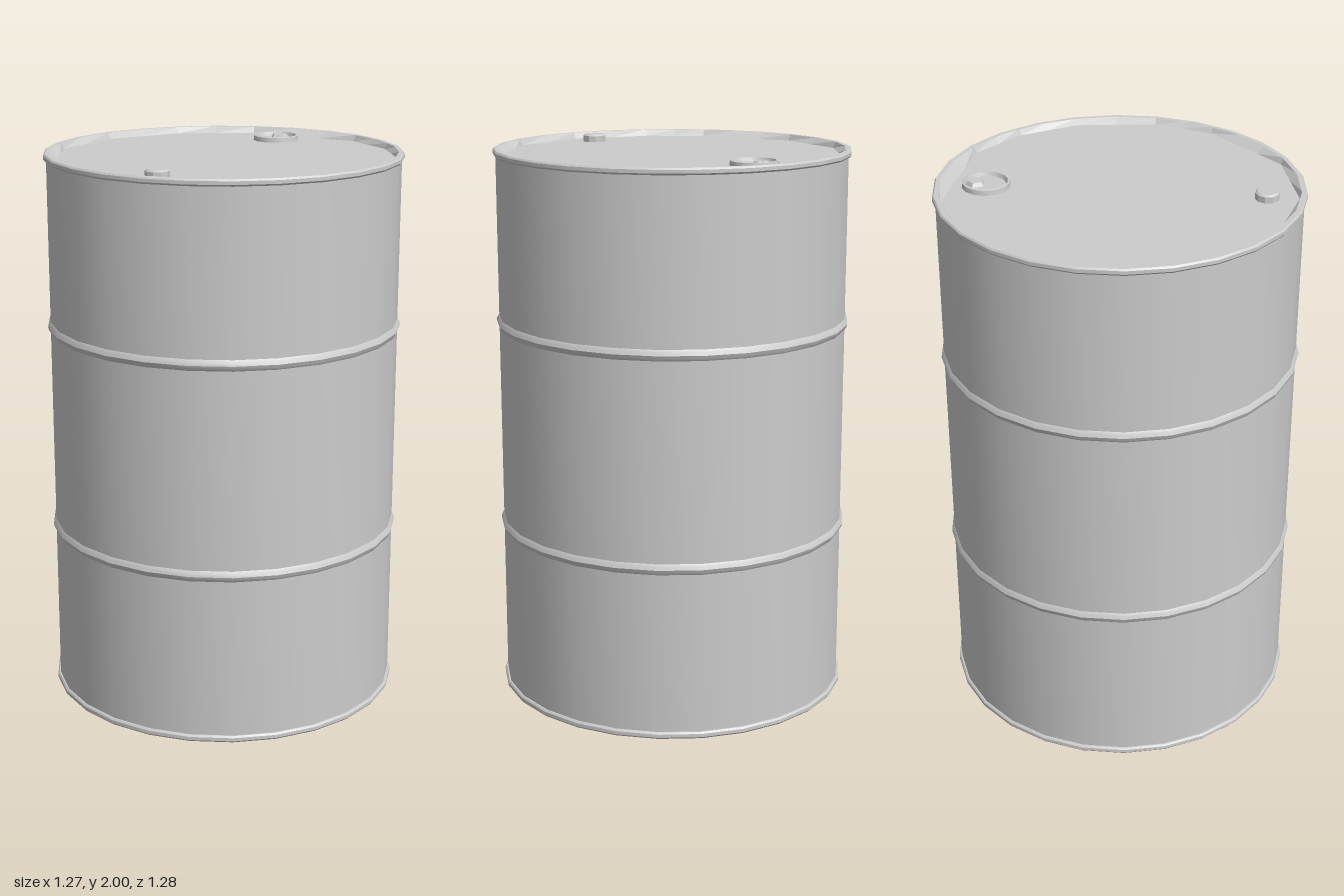
import * as THREE from 'three';
import { toCreasedNormals } from 'three/addons/utils/BufferGeometryUtils.js';

const SIDES = 26;
const STEP = (Math.PI * 2) / SIDES;
const PHASE = 0.049;
const LID_Y = 1.972, FLOOR_Y = 0.016;
// lid corners, counted in steps around the rim
const CORNERS = [0, 2, 5, 6.5, 8, 10, 11.5, 14, 16, 18, 19.5, 22, 24];

const steel = new THREE.MeshStandardMaterial({ color: 0xcccccc });
steel.name = 'steel';

function add(group, name, geometry, x = 0, y = 0, z = 0) {
  const mesh = new THREE.Mesh(geometry, steel);
  mesh.name = name;
  mesh.position.set(x, y, z);
  group.add(mesh);
  return mesh;
}

function lathe(profile, sides = SIDES, start = Math.PI - PHASE) {
  const points = profile.map(([r, y]) => new THREE.Vector2(r, y));
  return toCreasedNormals(new THREE.LatheGeometry(points, sides, start), 0.5);
}

// point on the rim circle, clockwise from the back as seen from above
function rimPoint(step, r, y) {
  const a = PHASE + step * STEP;
  return new THREE.Vector3(Math.sin(a) * r, y, -Math.cos(a) * r);
}

// faceted end plate with a sloping skirt up to the inside of the rim
function endPlate(plateY, rimY, up) {
  const pos = [];
  const tri = (a, b, c) => (up ? [a, c, b] : [a, b, c]).forEach(p => pos.push(p.x, p.y, p.z));
  const centre = new THREE.Vector3(0, plateY, 0);
  CORNERS.forEach((s, i) => {
    const e = i + 1 < CORNERS.length ? CORNERS[i + 1] : SIDES;
    const a = rimPoint(s, 0.612, plateY), b = rimPoint(e, 0.612, plateY);
    tri(centre, a, b);
    const n = Math.ceil(e - s);
    for (let k = 0; k < n; k++) {
      const t0 = k / n, t1 = (k + 1) / n;
      const p = a.clone().lerp(b, t0), q = a.clone().lerp(b, t1);
      const P = rimPoint(s + (e - s) * t0, 0.624, rimY), Q = rimPoint(s + (e - s) * t1, 0.624, rimY);
      tri(p, P, Q);
      tri(p, Q, q);
    }
  });
  const g = new THREE.BufferGeometry();
  g.setAttribute('position', new THREE.Float32BufferAttribute(pos, 3));
  g.computeVertexNormals();
  return g;
}

export function createModel() {
  const drum = new THREE.Group();
  drum.name = 'drum';

  // shell and its two rolling hoops
  add(drum, 'shell', lathe([[0.629, 0.01], [0.629, 1.985]]));
  for (const [name, y] of [['lowerHoop', 0.625], ['upperHoop', 1.375]]) {
    add(drum, name, lathe([[0.628, -0.021], [0.636, -0.01], [0.639, 0], [0.636, 0.01], [0.628, 0.021]]), 0, y);
  }

  // rolled rims at both ends
  const rim = [[0.618, 0], [0.634, 0], [0.639, 0.006], [0.639, 0.018], [0.634, 0.024], [0.628, 0.024]];
  add(drum, 'bottomRim', lathe(rim));
  add(drum, 'topRim', lathe(rim.map(([r, y]) => [r, 1.995 - y]).reverse()));

  // recessed end plates
  add(drum, 'lid', endPlate(LID_Y, 1.995, true));
  add(drum, 'base', endPlate(FLOOR_Y, 0, false));

  // large filler bung: raised collar, inner seat and off-centre nub
  const bung = new THREE.Group();
  bung.name = 'fillerBung';
  bung.position.set(0.325, LID_Y, -0.328);
  drum.add(bung);
  add(bung, 'collar', lathe([[0.085, 0], [0.083, 0.017], [0.076, 0.019], [0.07, 0.004]], 14, 0));
  add(bung, 'seat', new THREE.CylinderGeometry(0.074, 0.074, 0.005, 14), 0, 0.0025);
  add(bung, 'nub', toCreasedNormals(new THREE.CylinderGeometry(0.026, 0.036, 0.014, 5), 0.5), 0.025, 0.011, -0.027);

  // small vent plug
  add(drum, 'ventPlug', lathe([[0.042, 0], [0.042, 0.022], [0.035, 0.028], [0, 0.028]], 10, 0), -0.358, LID_Y, 0.352);

  return drum;
}
